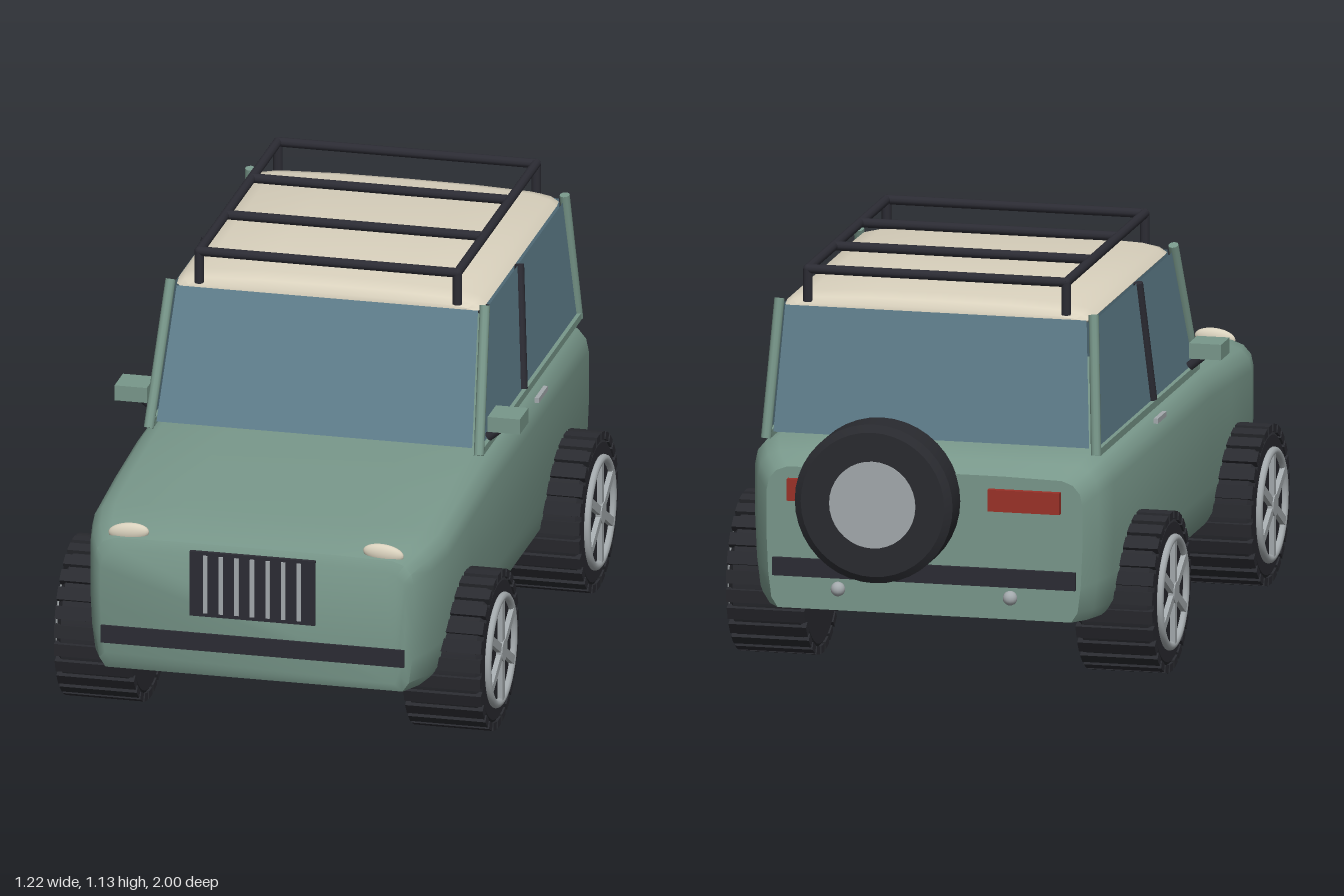
import * as THREE from 'three';
import { toCreasedNormals } from 'three/addons/utils/BufferGeometryUtils.js';

const mat = (name, color, side = THREE.FrontSide) => {
  const m = new THREE.MeshStandardMaterial({ color, side });
  m.name = name;
  return m;
};

// Closed loft through equal-length rings, counterclockwise seen from the front, ordered front to back
function loft(rings, crease) {
  const n = rings[0].length, idx = [], last = (rings.length - 1) * n;
  for (let j = 0; j < rings.length - 1; j++) {
    for (let i = 0; i < n; i++) {
      const a = j * n + i, b = j * n + (i + 1) % n, c = a + n, d = b + n;
      idx.push(a, c, b, b, c, d);
    }
  }
  for (let i = 1; i < n - 1; i++) {
    idx.push(0, i, i + 1, last, last + i + 1, last + i);
  }
  const g = new THREE.BufferGeometry();
  g.setAttribute('position', new THREE.Float32BufferAttribute(rings.flat(2), 3));
  g.setIndex(idx);
  return toCreasedNormals(g, crease);
}

// Symmetric ring from a right-half profile listed bottom to top
const ring = (half, w, y0, y1, z) => {
  const right = half.map(([x, t]) => [x * w, y0 + t * (y1 - y0), z]);
  return [...right, ...right.slice().reverse().map(([x, y]) => [-x, y, z])];
};

export function createModel() {
  const car = new THREE.Group();
  car.name = 'offRoadCar';
  const green = mat('bodyGreen', 0x78978a);
  const cream = mat('roofCream', 0xd9d1bd);
  const glass = mat('windowGlass', 0x5f7e8c, THREE.DoubleSide);
  const dark = mat('darkTrim', 0x2c2c34);
  const rubber = mat('tyreRubber', 0x292a2f);
  const metal = mat('metalGrey', 0xa3a9ac);
  const red = mat('tailRed', 0x9a3128);

  const add = (name, geo, m, pos = [0, 0, 0], parent = car) => {
    const mesh = new THREE.Mesh(geo, m);
    mesh.name = name;
    mesh.position.set(...pos);
    parent.add(mesh);
    return mesh;
  };
  const box = (name, size, pos, m, parent) => add(name, new THREE.BoxGeometry(...size), m, pos, parent);
  const rod = (name, a, b, r, m) => {
    const A = new THREE.Vector3(...a), B = new THREE.Vector3(...b), d = B.clone().sub(A);
    const mesh = add(name, new THREE.CylinderGeometry(r, r, d.length(), 10), m);
    mesh.position.copy(A).add(B).multiplyScalar(0.5);
    mesh.quaternion.setFromUnitVectors(new THREE.Vector3(0, 1, 0), d.normalize());
  };
  const pane = (name, a, b, c, d) => {
    const g = new THREE.BufferGeometry();
    g.setAttribute('position', new THREE.Float32BufferAttribute([a, b, c, a, c, d].flat(), 3));
    g.computeVertexNormals();
    add(name, g, glass);
  };

  // Lower body
  const side = [[0.93, 0], [0.97, 0.07], [0.99, 0.25], [1, 0.5], [1, 0.82], [0.985, 0.9], [0.94, 0.96], [0.87, 0.99], [0.5, 1]];
  const stations = [
    [0.99, 0.425, 0.24, 0.565], [0.975, 0.445, 0.215, 0.592], [0.9, 0.475, 0.21, 0.612], [0.79, 0.497, 0.21, 0.624],
    [0.55, 0.5, 0.21, 0.645], [0.3, 0.5, 0.21, 0.662], [-0.78, 0.5, 0.21, 0.662], [-0.85, 0.475, 0.21, 0.638], [-0.895, 0.44, 0.21, 0.605],
  ];
  add('body', loft(stations.map(([z, w, y0, y1]) => ring(side, w, y0, y1, z)), 0.7), green);
  box('underbody', [0.68, 0.04, 1.6], [0, 0.2, 0.05], dark);

  // Roof shell
  const roofHalf = [[0.97, 0], [1, 0.25], [0.95, 0.6], [0.84, 0.82], [0.45, 0.97], [0, 1]];
  const roofStations = [[0.14, 0.41, 1.03], [0.125, 0.425, 1.048], [0.08, 0.43, 1.06], [-0.7, 0.43, 1.06], [-0.745, 0.425, 1.048], [-0.76, 0.41, 1.03]];
  add('roof', loft(roofStations.map(([z, w, y1]) => ring(roofHalf, w, 1.008, y1, z)), 0.8), cream);

  // Windows
  pane('windscreen', [-0.44, 0.678, 0.295], [0.44, 0.678, 0.295], [0.42, 1.02, 0.148], [-0.42, 1.02, 0.148]);
  pane('rearWindow', [0.44, 0.678, -0.818], [-0.44, 0.678, -0.818], [-0.42, 1.02, -0.765], [0.42, 1.02, -0.765]);

  for (const s of [-1, 1]) {
    pane('sideWindow', [s * 0.46, 0.675, 0.285], [s * 0.46, 0.675, -0.81], [s * 0.435, 1.015, -0.76], [s * 0.435, 1.015, 0.145]);
    // Pillars and window sill
    rod('frontPillar', [s * 0.46, 0.66, 0.3], [s * 0.438, 1.035, 0.143], 0.014, green);
    rod('rearPillar', [s * 0.46, 0.66, -0.82], [s * 0.438, 1.035, -0.757], 0.014, green);
    rod('doorPillar', [s * 0.462, 0.68, -0.19], [s * 0.437, 1.015, -0.25], 0.013, dark);
    box('windowSill', [0.022, 0.02, 1.11], [s * 0.46, 0.668, -0.26], green);
    // Mirrors and door handles
    box('mirror', [0.09, 0.043, 0.095], [s * 0.52, 0.738, 0.215], green);
    rod('mirrorStalk', [s * 0.465, 0.685, 0.215], [s * 0.51, 0.722, 0.215], 0.013, dark);
    box('doorHandle', [0.012, 0.014, 0.1], [s * 0.498, 0.645, -0.25], metal);
    // Lamps
    const lamp = add('headlight', new THREE.SphereGeometry(1, 24, 14), cream, [s * 0.355, 0.6, 0.952]);
    lamp.scale.set(0.057, 0.026, 0.017);
    lamp.rotation.z = -s * 0.1;
    box('tailLight', [0.2, 0.06, 0.025], [s * 0.28, 0.54, -0.9], red);
    add('reverseLamp', new THREE.SphereGeometry(0.02, 14, 10), metal, [s * 0.24, 0.27, -0.9]);
  }

  // Grille and bumpers
  box('grille', [0.35, 0.185, 0.014], [0, 0.483, 0.989], dark);
  for (let i = -3; i <= 3; i++) box('grilleSlat', [0.012, 0.165, 0.008], [i * 0.0435, 0.484, 0.996], metal);
  box('frontBumper', [0.845, 0.05, 0.022], [0, 0.316, 0.985], dark);
  box('rearBumper', [0.845, 0.05, 0.022], [0, 0.325, -0.895], dark);

  // Roof rack
  const rackZ = [0.137, -0.16, -0.457, -0.752], r = 0.013, ry = 1.12;
  for (const z of rackZ) rod('rackCrossbar', [-0.36, ry, z], [0.36, ry, z], r, dark);
  for (const x of [-0.36, 0.36]) {
    rod('rackRail', [x, ry, rackZ[0]], [x, ry, rackZ[3]], r, dark);
    for (const z of [rackZ[0], rackZ[3]]) {
      rod('rackPost', [x, 1.03, z], [x, ry, z], r, dark);
      add('rackCorner', new THREE.SphereGeometry(r, 10, 8), dark, [x, ry, z]);
    }
  }

  // Tyre solid around the y axis, with slightly rounded shoulders
  const tyre = (radius, h) => toCreasedNormals(new THREE.LatheGeometry(
    [[0, -h], [radius - 0.02, -h], [radius, -h + 0.014], [radius, h - 0.014], [radius - 0.02, h], [0, h]]
      .map(p => new THREE.Vector2(...p)), 40), 0.6);

  // Wheels: outer face towards local +x
  const makeWheel = () => {
    const w = new THREE.Group();
    w.name = 'wheel';
    add('tyre', tyre(0.211, 0.106), rubber, [0, 0, 0], w).rotation.z = Math.PI / 2;
    const lugs = 26;
    for (let i = 0; i < lugs; i++) {
      const a = i / lugs * Math.PI * 2;
      const lug = box('treadLug', [0.216, 0.022, 0.036], [0, Math.cos(a) * 0.209, Math.sin(a) * 0.209], rubber, w);
      lug.rotation.x = a;
    }
    add('rim', new THREE.TorusGeometry(0.147, 0.012, 10, 40), metal, [0.11, 0, 0], w).rotation.y = Math.PI / 2;
    for (let i = 0; i < 3; i++) {
      box('spokePair', [0.016, 0.29, 0.024], [0.112, 0, 0], metal, w).rotation.x = i * Math.PI / 3;
    }
    add('hub', new THREE.CylinderGeometry(0.03, 0.03, 0.026, 20), metal, [0.11, 0, 0], w).rotation.z = Math.PI / 2;
    return w;
  };
  for (const s of [-1, 1]) {
    for (const z of [0.61, -0.51]) {
      const w = makeWheel();
      w.position.set(s * 0.486, 0.222, z);
      if (s < 0) w.rotation.y = Math.PI;
      car.add(w);
    }
  }

  // Spare wheel
  add('spareTyre', tyre(0.22, 0.06), rubber, [0.12, 0.53, -0.936]).rotation.x = Math.PI / 2;
  add('spareHub', new THREE.CylinderGeometry(0.12, 0.12, 0.01, 36), metal, [0.12, 0.53, -0.995]).rotation.x = Math.PI / 2;

  return car;
}
